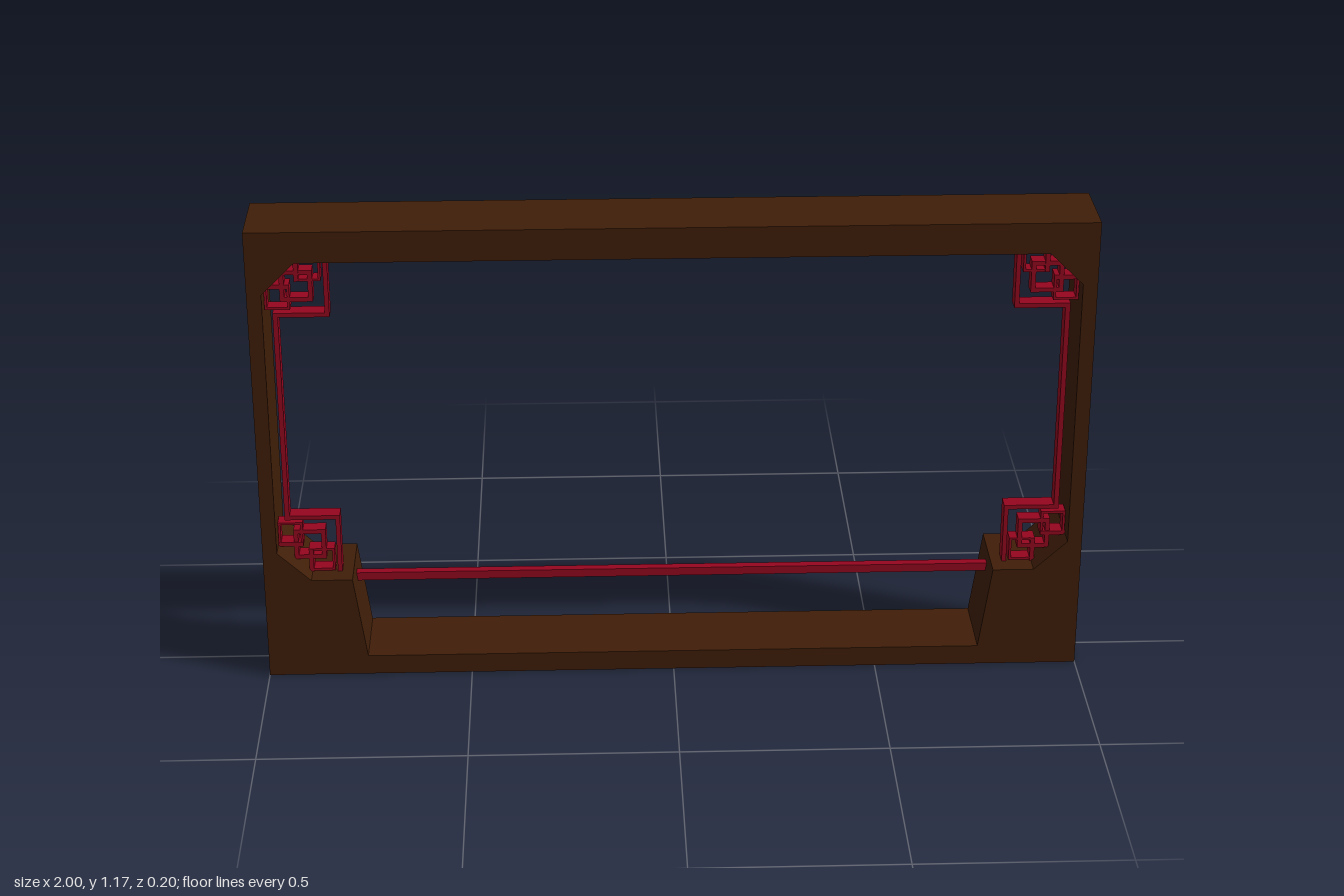
import * as THREE from 'three';

export function createModel() {
  const model = new THREE.Group();
  const wood = new THREE.MeshStandardMaterial({ color: 0x401e08 });
  wood.name = 'dark brown wood';
  const red = new THREE.MeshStandardMaterial({ color: 0x96051f });
  red.name = 'deep red lacquer';

  // Frame: a slab with one opening, chamfered corners and sloping feet
  const half = [[0.755, 0.05], [0.785, 0.262], [0.885, 0.262], [0.965, 0.337], [0.965, 1.016], [0.885, 1.095]];
  const opening = [...half, ...half.map(([x, y]) => [-x, y]).reverse()];
  const outline = new THREE.Shape([[-1, 0], [1, 0], [1, 1.172], [-1, 1.172]].map(p => new THREE.Vector2(...p)));
  outline.holes.push(new THREE.Path(opening.map(p => new THREE.Vector2(...p))));
  const frameGeometry = new THREE.ExtrudeGeometry(outline, { depth: 0.196, bevelEnabled: false });
  frameGeometry.translate(0, 0, -0.098);
  const frame = new THREE.Mesh(frameGeometry, wood);
  frame.name = 'frame';
  model.add(frame);

  // A red bar spanning x0..x1, y0..y1
  function bar(parent, name, x0, x1, y0, y1, depth, z) {
    const mesh = new THREE.Mesh(new THREE.BoxGeometry(x1 - x0, y1 - y0, depth), red);
    mesh.position.set((x0 + x1) / 2, (y0 + y1) / 2, z);
    mesh.name = name;
    parent.add(mesh);
  }

  // An open square of thin bars
  function square(parent, name, x0, x1, y0, y1, t, depth, z) {
    const group = new THREE.Group();
    group.name = name;
    bar(group, 'lowerBar', x0, x1, y0, y0 + t, depth, z);
    bar(group, 'upperBar', x0, x1, y1 - t, y1, depth, z);
    bar(group, 'firstUpright', x0, x0 + t, y0 + t, y1 - t, depth, z);
    bar(group, 'secondUpright', x1 - t, x1, y0 + t, y1 - t, depth, z);
    parent.add(group);
  }

  const Z = 0.03, D = 0.042, MID = 0.677;
  for (const sx of [1, -1]) {
    for (const sy of [1, -1]) {
      // Corner fretwork; heights are measured from the opening's middle and mirrored
      const corner = new THREE.Group();
      corner.name = (sy > 0 ? 'upper' : 'lower') + (sx > 0 ? 'Left' : 'Right') + 'Fretwork';
      const span = (x0, x1, y0, y1) => [
        Math.min(sx * x0, sx * x1), Math.max(sx * x0, sx * x1),
        Math.min(MID + sy * y0, MID + sy * y1), Math.max(MID + sy * y0, MID + sy * y1)];
      const piece = (name, ...box) => bar(corner, name, ...span(...box), D, Z);
      const ring = (name, t, ...box) => square(corner, name, ...span(...box), t, D - 0.004, Z);
      piece('innerUpright', 0.812, 0.823, 0.262, 0.416);
      piece('cornerRail', 0.823, 0.946, 0.262, 0.273);
      ring('middleSquare', 0.011, 0.849, 0.927, 0.301, 0.38);
      ring('railSquare', 0.006, 0.829, 0.889, 0.353, 0.413);
      ring('sideSquare', 0.006, 0.904, 0.964, 0.281, 0.34);
      piece('sideLink', 0.904, 0.966, 0.334, 0.345);
      piece('railLink', 0.881, 0.892, 0.353, 0.417);
      model.add(corner);
    }
    // Long side upright between the corners
    bar(model, sx > 0 ? 'leftUpright' : 'rightUpright',
      sx > 0 ? 0.934 : -0.946, sx > 0 ? 0.946 : -0.934, 0.406, 0.949, D, Z);
  }

  // Lower rail between the feet
  bar(model, 'lowerRail', -0.79, 0.79, 0.215, 0.236, 0.022, 0);
  return model;
}
